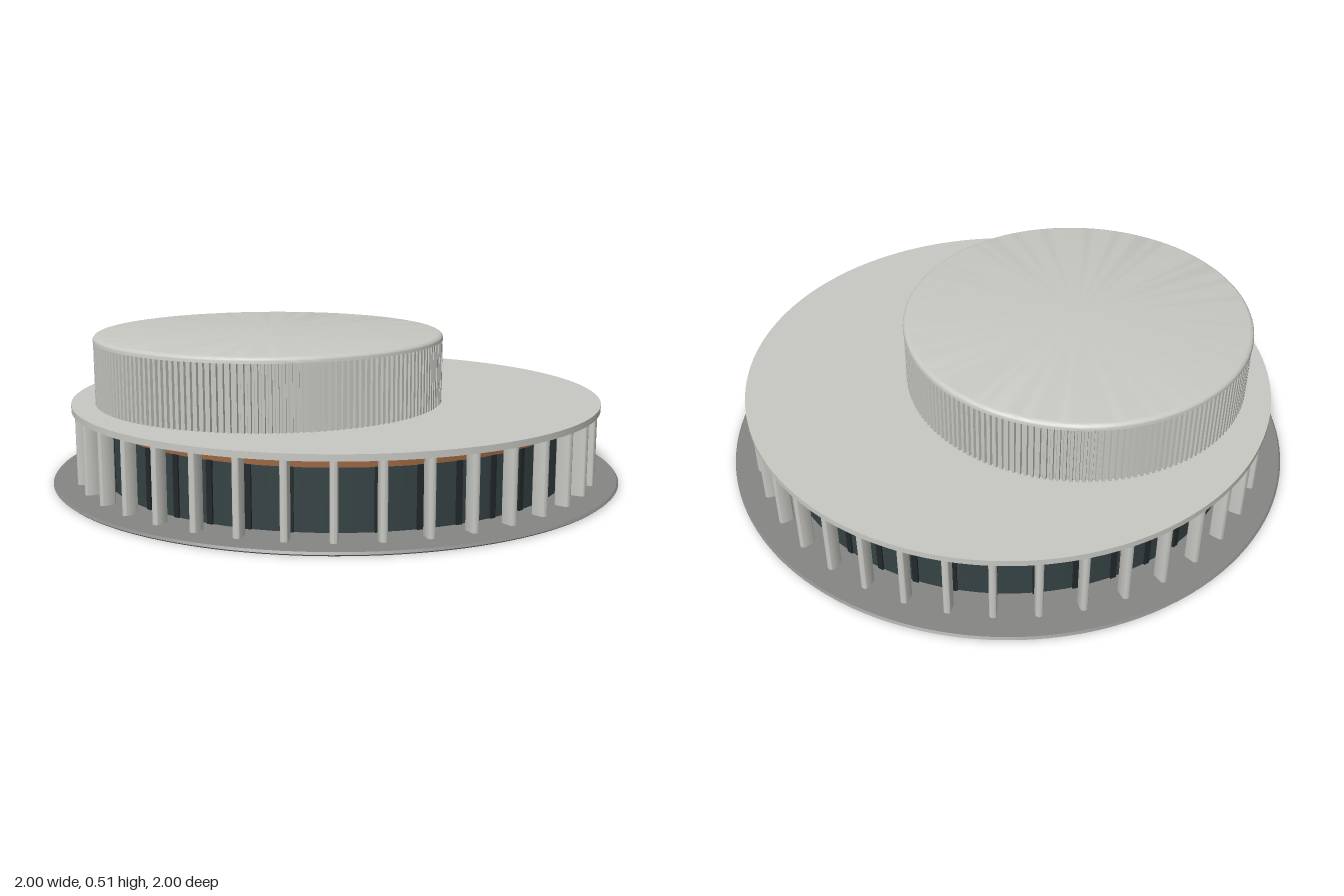
import * as THREE from 'three';
import { toCreasedNormals } from 'three/addons/utils/BufferGeometryUtils.js';

const mat = (name, color) => {
  const m = new THREE.MeshStandardMaterial({ color });
  m.name = name;
  return m;
};

export function createModel() {
  const pale = mat('pale concrete', 0xc8c8c3);
  const paving = mat('grey paving', 0x868684);
  const glass = mat('dark glass', 0x354244);
  const frame = mat('window frame', 0x22292b);
  const timber = mat('brown timber', 0x9c6640);

  const group = new THREE.Group();
  const add = (name, geometry, material, x = 0, y = 0, z = 0, parent = group) => {
    const mesh = new THREE.Mesh(geometry, material);
    mesh.name = name;
    mesh.position.set(x, y, z);
    parent.add(mesh);
    return mesh;
  };
  // Closed round slab from a half profile of [radius, height] pairs
  const slab = (profile) => toCreasedNormals(
    new THREE.LatheGeometry(profile.map(([r, y]) => new THREE.Vector2(r, y)), 128), 0.5);
  // Plan outline extruded upwards
  const upright = (shape, height) => new THREE.ExtrudeGeometry(shape,
    { depth: height, bevelEnabled: false, curveSegments: 8 }).rotateX(-Math.PI / 2);

  // Base plate and main roof
  add('basePlate', slab([[0, 0], [0.994, 0], [1, 0.005], [0.994, 0.012], [0, 0.012]]), paving);
  add('mainRoof', slab([[0, 0.255], [0.93, 0.255], [0.93, 0.276], [0, 0.276]]), pale);

  // Recessed wall: glass below, timber band above
  add('glassWall', new THREE.CylinderGeometry(0.82, 0.82, 0.2, 128, 1, true), glass, 0, 0.111, 0);
  add('timberBand', new THREE.CylinderGeometry(0.823, 0.823, 0.045, 128, 1, true), timber, 0, 0.2325, 0);

  // Ring of radial fin columns with a window frame post behind each
  const w = 0.0125, d = 0.014;
  const finShape = new THREE.Shape();
  finShape.moveTo(w, -d);
  finShape.lineTo(w, d);
  finShape.absarc(0, d, w, 0, Math.PI, false);
  finShape.lineTo(-w, -d);
  finShape.absarc(0, -d, w, Math.PI, Math.PI * 2, false);
  const finGeometry = toCreasedNormals(upright(finShape, 0.244), 0.6);
  const postGeometry = new THREE.BoxGeometry(0.02, 0.199, 0.014);
  const COUNT = 40;
  for (let i = 0; i < COUNT; i++) {
    const bay = new THREE.Group();
    bay.name = 'columnBay';
    bay.rotation.y = ((i + 0.5) / COUNT) * Math.PI * 2;
    add('finColumn', finGeometry, pale, 0, 0.0115, 0.895, bay);
    add('windowPost', postGeometry, frame, 0, 0.1115, 0.819, bay);
    group.add(bay);
  }

  // Off-centre upper drum with a ribbed wall and a rounded cap
  const drum = new THREE.Group();
  drum.name = 'upperDrum';
  drum.position.set(-0.165, 0, 0.178);
  group.add(drum);

  const RIBS = 180;
  const ribPoints = [];
  for (let i = 0; i < RIBS; i++) {
    for (const [t, r] of [[0, 0.596], [0.35, 0.596], [0.45, 0.606], [0.9, 0.606]]) {
      const a = ((i + t) / RIBS) * Math.PI * 2;
      ribPoints.push(new THREE.Vector2(Math.cos(a) * r, Math.sin(a) * r));
    }
  }
  add('ribbedWall', upright(new THREE.Shape(ribPoints), 0.216), pale, 0, 0.275, 0, drum);

  const capProfile = [[0, 0.49], [0.608, 0.49]];
  for (let i = 0; i <= 5; i++) {
    const a = (i / 5) * Math.PI / 2;
    capProfile.push([0.59 + 0.018 * Math.cos(a), 0.492 + 0.018 * Math.sin(a)]);
  }
  capProfile.push([0, 0.51]);
  add('drumCap', slab(capProfile), pale, 0, 0, 0, drum);

  return group;
}
